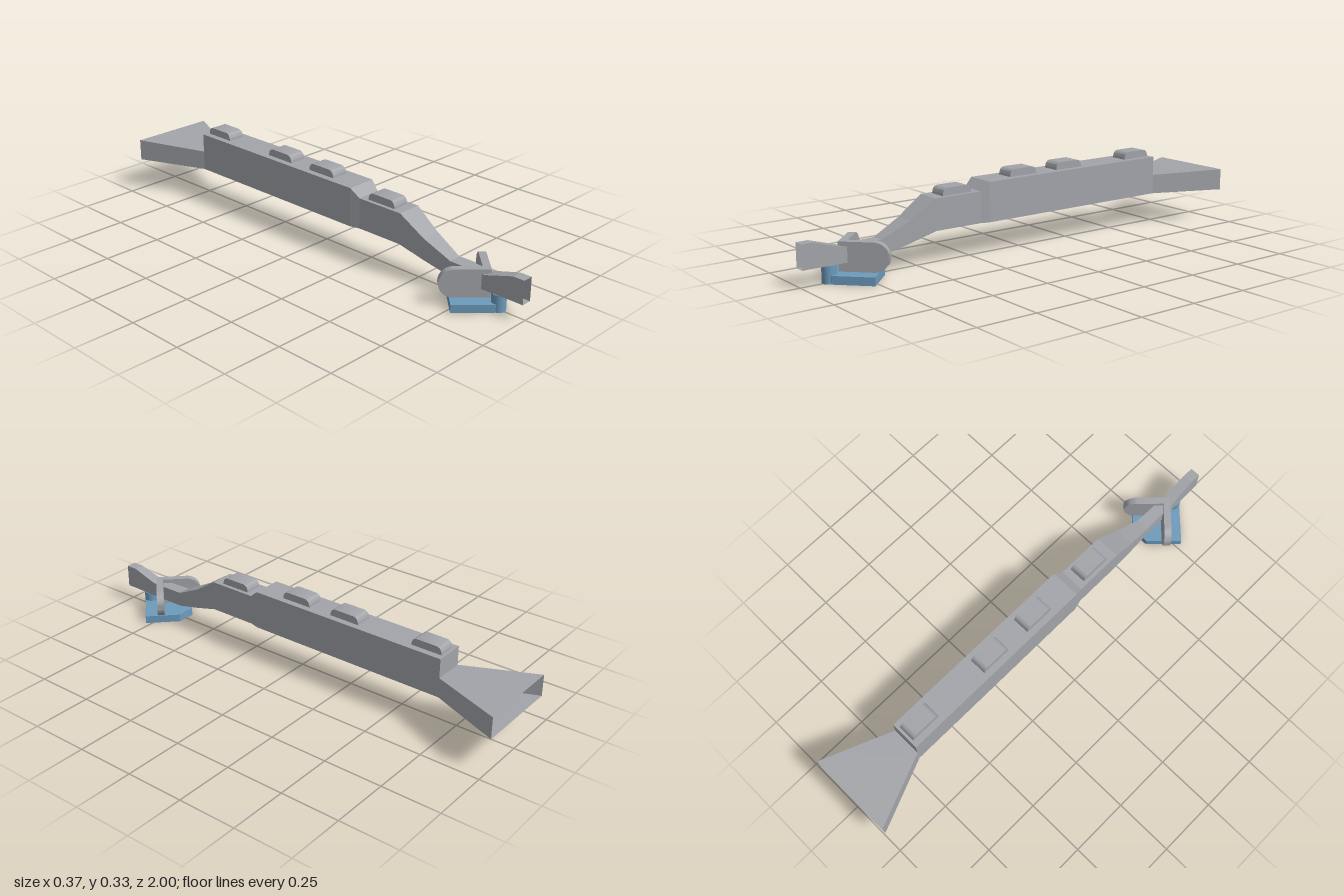
import * as THREE from 'three';
import { toCreasedNormals } from 'three/addons/utils/BufferGeometryUtils.js';

// Flat-shaded skin through rings of equal point count; optional flat cap on the last ring
function loft(rings, capEnd = false) {
  const pos = [];
  const tri = (a, b, c) => pos.push(...a, ...b, ...c);
  for (let i = 0; i < rings.length - 1; i++) {
    const a = rings[i], b = rings[i + 1], n = a.length;
    for (let j = 0; j < n; j++) {
      const k = (j + 1) % n;
      tri(a[j], a[k], b[k]);
      tri(a[j], b[k], b[j]);
    }
  }
  if (capEnd) {
    const r = rings[rings.length - 1];
    for (let j = 1; j < r.length - 1; j++) tri(r[0], r[j], r[j + 1]);
  }
  const g = new THREE.BufferGeometry();
  g.setAttribute('position', new THREE.Float32BufferAttribute(pos, 3));
  g.computeVertexNormals();
  return g;
}

export function createModel() {
  const grey = new THREE.MeshStandardMaterial({ color: 0xa2a4a9, side: THREE.DoubleSide });
  grey.name = 'grey';
  const blue = new THREE.MeshStandardMaterial({ color: 0x6c9abb, side: THREE.DoubleSide });
  blue.name = 'blue';

  const model = new THREE.Group();
  const add = (name, geometry, material, x = 0, y = 0, z = 0) => {
    const mesh = new THREE.Mesh(geometry, material);
    mesh.name = name;
    mesh.position.set(x, y, z);
    model.add(mesh);
    return mesh;
  };

  // Hollow body, open at mouthpiece and flare: [z, half width, bottom, top]
  const sections = [
    [-1, 0.187, 0.138, 0.23],
    [-0.7, 0.064, 0.138, 0.221],
    [-0.7, 0.064, 0.138, 0.302],
    [0.19, 0.064, 0.138, 0.302],
    [0.23, 0.053, 0.138, 0.267],
    [0.44, 0.053, 0.138, 0.267],
    [0.55, 0.042, 0.105, 0.194],
    [0.67, 0.028, 0.072, 0.135],
    [0.83, 0.025, 0.07, 0.132],
    [0.95, 0.022, 0.07, 0.168],
    [1, 0.022, 0.07, 0.168],
  ];
  add('body', loft(sections.map(([z, w, b, t]) =>
    [[-w, b, z], [w, b, z], [w, t, z], [-w, t, z]])), grey);

  // Rounded buttons along the top
  const len = 0.134, h = 0.031, r = 0.026;
  const profile = new THREE.Shape();
  profile.moveTo(-len / 2, -0.005);
  profile.lineTo(len / 2, -0.005);
  profile.lineTo(len / 2, h - r);
  profile.quadraticCurveTo(len / 2 - 0.003, h, len / 2 - r, h);
  profile.lineTo(-len / 2 + r, h);
  profile.quadraticCurveTo(-len / 2 + 0.003, h, -len / 2, h - r);
  const buttonGeo = new THREE.ExtrudeGeometry(profile, { depth: 0.074, bevelEnabled: false, curveSegments: 6 });
  buttonGeo.translate(0, 0, -0.037);
  buttonGeo.rotateY(Math.PI / 2);
  const button = toCreasedNormals(buttonGeo, 0.6);
  for (const [z, y] of [[0.33, 0.267], [0.003, 0.302], [-0.237, 0.302], [-0.62, 0.302]])
    add('button', button, grey, 0, y, z);

  // Two round-ended blades meeting in a V beneath the mouthpiece
  const R = 0.0575, L = 0.18, T = 0.03;
  const outline = new THREE.Shape();
  outline.moveTo(-T / 2, -R);
  outline.lineTo(L - R, -R);
  outline.absarc(L - R, 0, R, -Math.PI / 2, Math.PI / 2, false);
  outline.lineTo(-T / 2, R);
  const bladeGeo = new THREE.ExtrudeGeometry(outline, { depth: T, bevelEnabled: false, curveSegments: 10 });
  bladeGeo.translate(0, 0, -T / 2);
  const blade = toCreasedNormals(bladeGeo, 0.6);
  add('leftBlade', blade, grey, 0, 0.0925, 0.82).rotation.y = Math.PI / 4;
  add('rightBlade', blade, grey, 0, 0.0925, 0.82).rotation.y = Math.PI * 3 / 4;

  // Diamond base, open underneath
  const corners = [[0.147, 0.772], [0.04, 0.666], [-0.04, 0.666], [-0.147, 0.772], [-0.03, 0.888], [0.03, 0.888]];
  add('base', loft([0, 0.033].map(y => corners.map(([x, z]) => [x, y, z])), true), blue);

  // Post joining base and mouthpiece
  add('post', new THREE.CylinderGeometry(0.029, 0.029, 0.07, 20), blue, 0, 0.035, 0.88);

  return model;
}
